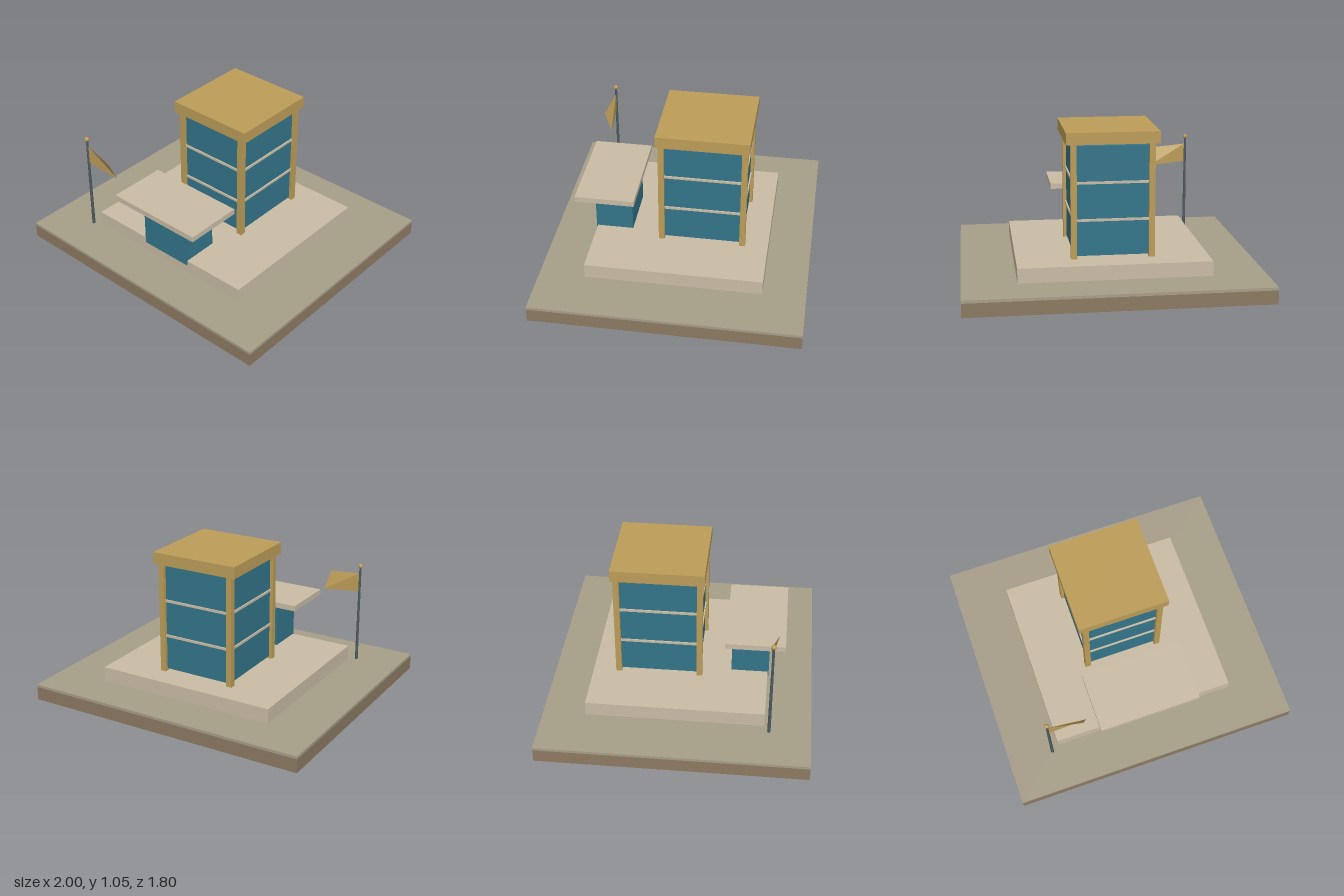
import * as THREE from 'three';

const mat = (color, extra = {}) => {
  const m = new THREE.MeshStandardMaterial({ flatShading: true, ...extra });
  m.color.set(color);
  return m;
};
const earth = mat(0x8c7a62), paving = mat(0xa69e88), stone = mat(0xc9bca5);
const gold = mat(0xbc9d58), glass = mat(0x33758a), steel = mat(0x4c5c60);
const cloth = mat(0xbc9d58, { side: THREE.DoubleSide });

// Box given by its extents along each axis
function box(parent, name, material, [x0, x1], [y0, y1], [z0, z1]) {
  const mesh = new THREE.Mesh(new THREE.BoxGeometry(x1 - x0, y1 - y0, z1 - z0), material);
  mesh.position.set((x0 + x1) / 2, (y0 + y1) / 2, (z0 + z1) / 2);
  mesh.name = name;
  parent.add(mesh);
  return mesh;
}

function group(parent, name) {
  const g = new THREE.Group();
  g.name = name;
  parent.add(g);
  return g;
}

export function createModel() {
  const model = new THREE.Group();
  model.name = 'officeBuilding';

  // Ground slab, paving and plinth
  box(model, 'groundSlab', earth, [-1, 1], [0, 0.093], [-0.9, 0.9]);
  box(model, 'paving', paving, [-1, 1], [0.093, 0.112], [-0.9, 0.9]);
  box(model, 'plinth', stone, [-0.64, 0.64], [0.112, 0.212], [-0.61, 0.59]);

  // Tower: three glazed storeys, floor bands, corner posts and roof
  const tower = group(model, 'tower');
  tower.position.z = -0.155;
  const storey = 0.25, firstFloor = 0.219, gap = 0.008;
  for (let i = 0; i < 3; i++) {
    const y = firstFloor + i * storey;
    box(tower, 'storeyGlass', glass, [-0.255, 0.255], [y + gap, y + storey - gap], [-0.275, 0.275]);
    if (i > 0) box(tower, 'floorBand', stone, [-0.265, 0.265], [y - gap, y + gap], [-0.285, 0.285]);
  }
  for (const sx of [-1, 1]) for (const sz of [-1, 1]) {
    const post = box(tower, 'cornerPost', gold, [-0.02, 0.02], [0.212, 0.975], [-0.02, 0.02]);
    post.position.x = sx * 0.258;
    post.position.z = sz * 0.278;
  }
  box(tower, 'roof', gold, [-0.308, 0.308], [0.975, 1.055], [-0.311, 0.311]);

  // Entrance lobby with its canopy
  const entrance = group(model, 'entrance');
  box(entrance, 'lobby', glass, [-0.19, 0.19], [0.18, 0.516], [0.34, 0.598]);
  box(entrance, 'canopy', stone, [-0.35, 0.35], [0.516, 0.555], [0.298, 0.703]);

  // Flagpole with finial and a bent flag
  const flagpole = group(model, 'flagpole');
  flagpole.position.set(-0.692, 0, 0.622);
  const pole = new THREE.Mesh(new THREE.CylinderGeometry(0.008, 0.011, 0.7, 8), steel);
  pole.position.y = 0.462;
  pole.name = 'pole';
  const finial = new THREE.Mesh(new THREE.SphereGeometry(0.017, 8, 6), gold);
  finial.position.y = 0.816;
  finial.name = 'finial';
  const flagShape = new THREE.BufferGeometry();
  flagShape.setAttribute('position', new THREE.Float32BufferAttribute([
    0.008, 0.76, 0, 0.008, 0.627, 0, 0.268, 0.604, -0.014, 0.237, 0.732, 0.036,
  ], 3));
  flagShape.setIndex([0, 1, 2, 0, 2, 3]);
  flagShape.computeVertexNormals();
  const flag = new THREE.Mesh(flagShape, cloth);
  flag.name = 'flag';
  flagpole.add(pole, finial, flag);

  return model;
}
